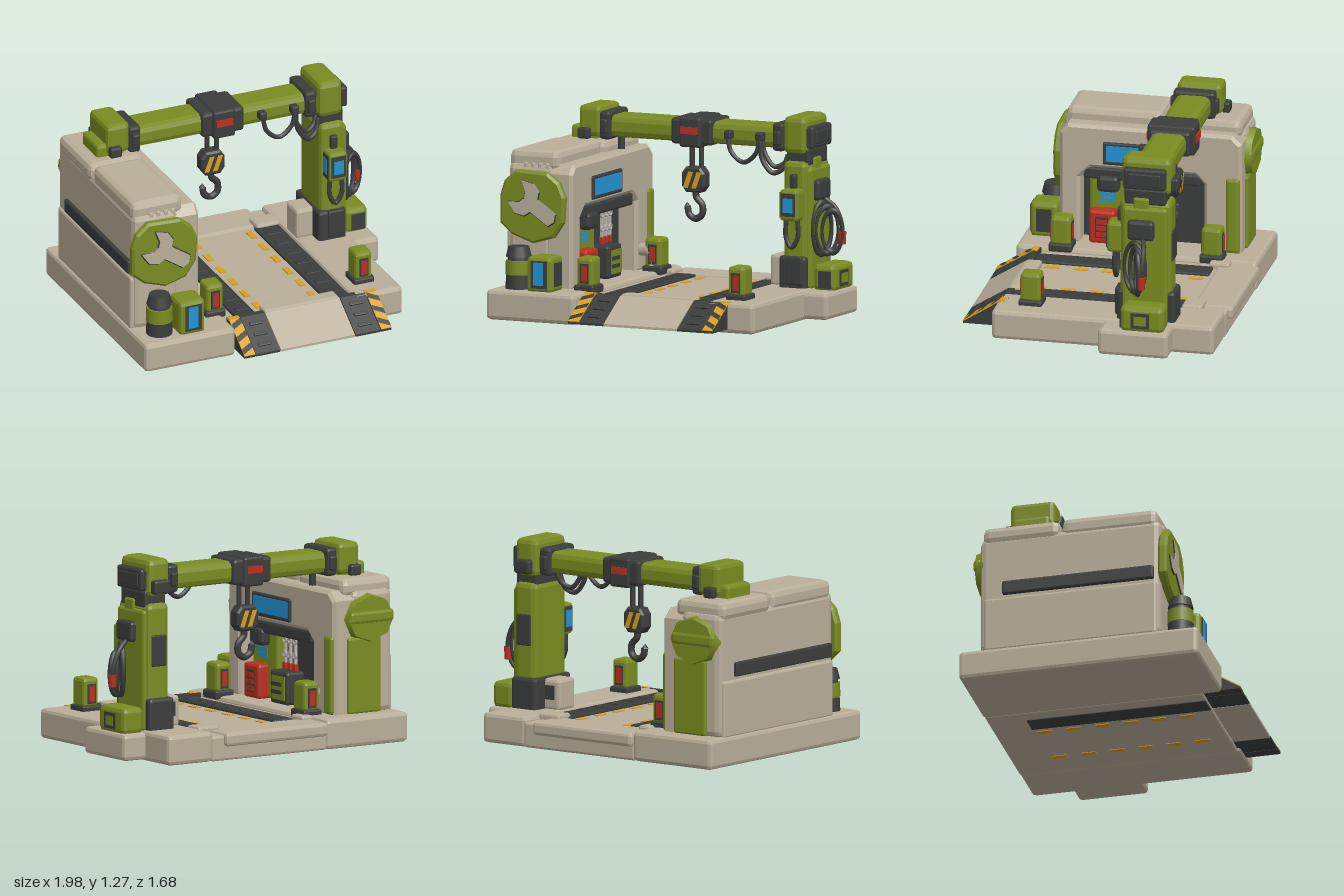
import * as THREE from 'three';
import { RoundedBoxGeometry } from 'three/addons/geometries/RoundedBoxGeometry.js';

const material = (name, color) => {
  const m = new THREE.MeshStandardMaterial({ color });
  m.name = name;
  return m;
};
const tan = material('warm grey', 0xb9ae99), green = material('olive green', 0x7a8b21);
const dark = material('charcoal', 0x3b3d3c), yellow = material('yellow', 0xd8a01c);
const red = material('red', 0xba3020), blue = material('blue', 0x2294d6);
const steel = material('steel', 0xbab6ae);

export function createModel() {
  const root = new THREE.Group();
  root.name = 'serviceBay';

  const add = (name, geo, mat, parent = root) => {
    const mesh = new THREE.Mesh(geo, mat);
    mesh.name = name;
    parent.add(mesh);
    return mesh;
  };
  // Chamfered box given by its extents on each axis
  const box = (name, mat, [x0, x1], [y0, y1], [z0, z1], r = 0.015, parent = root) => {
    const w = x1 - x0, h = y1 - y0, d = z1 - z0;
    const rad = Math.min(r, Math.min(w, h, d) * 0.4);
    const geo = r > 0 ? new RoundedBoxGeometry(w, h, d, 1, rad) : new THREE.BoxGeometry(w, h, d);
    geo.computeVertexNormals();
    const m = add(name, geo, mat, parent);
    m.position.set((x0 + x1) / 2, (y0 + y1) / 2, (z0 + z1) / 2);
    return m;
  };
  const shape = pts => new THREE.Shape(pts.map(p => new THREE.Vector2(...p)));
  const extrude = (pts, depth, bevel = 0, offset = -bevel) => new THREE.ExtrudeGeometry(shape(pts), {
    depth, bevelEnabled: bevel > 0, bevelThickness: bevel, bevelSize: bevel, bevelOffset: offset, bevelSegments: 1 });
  // Extrusion of a (z, y) profile between two x positions
  const sideProfile = (name, mat, pts, x0, x1, bevel = 0) => {
    const geo = extrude(pts, x1 - x0 - 2 * bevel, bevel).rotateY(-Math.PI / 2);
    add(name, geo, mat).position.x = x1 - bevel;
  };
  const tube = (name, mat, pts, r, parent = root) => {
    const curve = new THREE.CatmullRomCurve3(pts.map(p => new THREE.Vector3(...p)));
    return add(name, new THREE.TubeGeometry(curve, 32, r, 8), mat, parent);
  };
  const cyl = (name, mat, r0, r1, h, x, y, z, n = 16) => {
    const m = add(name, new THREE.CylinderGeometry(r0, r1, h, n), mat);
    m.position.set(x, y, z);
    return m;
  };

  // Platform slabs
  box('leftSlab', tan, [-0.98, -0.36], [0.01, 0.2], [-0.82, 0.73], 0.025);
  box('rightSlab', tan, [0.5, 0.84], [0.01, 0.2], [-0.81, 0.62], 0.025);
  box('laneSlab', tan, [-0.37, 0.51], [0.01, 0.17], [-0.81, 0.6], 0.015);
  box('columnSlab', tan, [0.8, 1], [0.02, 0.19], [-0.55, -0.1], 0.025);
  box('rearSill', tan, [-0.36, 0.42], [0.1, 0.185], [-0.84, -0.58], 0.02);
  for (const [x0, x1] of [[-0.37, -0.28], [0.35, 0.51]]) box('trackStop', tan, [x0, x1], [0.14, 0.21], [-0.66, -0.53], 0.015);

  // Lane tracks with tread slots, and dashed guide lines
  for (const [x0, x1] of [[-0.28, -0.14], [0.34, 0.5]]) {
    box('track', dark, [x0, x1], [0.1, 0.188], [-0.56, 0.58], 0.01);
    for (let i = 0; i < 7; i++) {
      const z = -0.46 + i * 0.15;
      box('treadBar', dark, [x0 + 0.03, x1 - 0.03], [0.185, 0.195], [z, z + 0.05], 0.004);
    }
  }
  box('trackUnderside', dark, [-0.28, -0.14], [0.005, 0.012], [-0.56, 0.6], 0);
  for (const x of [-0.085, 0.295])
    for (let i = 0; i < 6; i++) {
      const z = 0.435 - i * 0.185;
      box('guideDash', yellow, [x - 0.019, x + 0.019], [0.168, 0.175], [z - 0.046, z + 0.046], 0);
      box('guideDashUnderside', yellow, [x - 0.019, x + 0.019], [0.006, 0.012], [z - 0.046, z + 0.046], 0);
    }

  // Entry ramp: centre, gripped pads and hazard edges
  const rampProfile = [[0.56, 0.035], [0.84, 0.035], [0.84, 0.05], [0.6, 0.2], [0.56, 0.2]];
  sideProfile('ramp', tan, rampProfile, -0.1, 0.41);
  box('rampLanding', tan, [-0.1, 0.41], [0.15, 0.21], [0.5, 0.595], 0.012);
  for (const [x0, x1] of [[-0.27, -0.105], [0.415, 0.585]]) sideProfile('rampPad', dark, rampProfile, x0, x1);
  const slope = new THREE.Group();
  slope.name = 'rampDetails';
  slope.position.set(0, 0.125, 0.72);
  slope.rotation.x = Math.atan2(0.15, 0.24);
  root.add(slope);
  for (const x of [-0.187, 0.5])
    for (const z of [-0.08, 0, 0.08])
      box('gripBar', dark, [x - 0.045, x + 0.045], [-0.005, 0.01], [z - 0.012, z + 0.012], 0.004, slope);
  for (const [x0, x1, s] of [[-0.35, -0.275, 1], [0.59, 0.66, -1]]) {
    sideProfile('hazardEdge', dark, rampProfile, x0, x1);
    box('hazardPlate', yellow, [x0, x1], [-0.003, 0.004], [-0.142, 0.142], 0, slope);
    box('hazardLip', yellow, [x0, x1], [0.19, 0.204], [0.57, 0.605], 0);
    for (const v of [-0.11, -0.015, 0.08]) {
      const a = v + (s > 0 ? 0 : 0.04), b = v + (s > 0 ? 0.04 : 0);
      const geo = new THREE.ShapeGeometry(shape([[x0, a - 0.02], [x1, b - 0.02], [x1, b + 0.02], [x0, a + 0.02]]));
      add('hazardStripe', geo.rotateX(-Math.PI / 2).translate(0, 0.006, 0), dark, slope);
    }
  }

  // Workshop tower: core, niche frame and roof blocks
  box('towerCore', tan, [-0.95, -0.64], [0.19, 0.98], [-0.69, 0.48], 0.04);
  sideProfile('nicheFrame', tan, [[0.48, 0.19], [0.48, 0.92], [0.43, 0.98], [-0.63, 0.98], [-0.69, 0.92], [-0.69, 0.19],
    [-0.45, 0.19], [-0.45, 0.64], [-0.39, 0.7], [0.28, 0.7], [0.35, 0.63], [0.35, 0.19]], -0.68, -0.5, 0.02);
  box('roofFront', tan, [-0.95, -0.6], [0.93, 1.06], [-0.16, 0.46], 0.04);
  box('roofRear', tan, [-0.96, -0.58], [0.93, 1.05], [-0.67, -0.17], 0.04);
  for (let i = 0; i < 4; i++)
    box('roofRib', tan, [-0.84 + i * 0.05, -0.81 + i * 0.05], [0.94, 0.985], [0.43, 0.475], 0.008);
  box('sideStripe', dark, [-0.975, -0.94], [0.57, 0.66], [-0.54, 0.44], 0.01);
  box('wallSkirt', tan, [-0.965, -0.9], [0.19, 0.55], [-0.66, 0.46], 0.015);

  // Round covers on the tower ends, front one with a spanner sign
  const cover = [[-0.98, 0.6], [-0.9, 0.53], [-0.75, 0.48], [-0.61, 0.52], [-0.54, 0.62], [-0.53, 0.78],
    [-0.57, 0.87], [-0.65, 0.93], [-0.87, 0.94], [-0.95, 0.87], [-0.98, 0.78]];
  add('frontCover', extrude(cover, 0.03, 0.015), green).position.z = 0.485;
  const spanner = [[-0.17, -0.045], [-0.02, -0.045], [0, -0.09], [0.06, -0.115], [0.14, -0.085], [0.075, -0.04], [0.06, 0],
    [0.075, 0.04], [0.14, 0.085], [0.06, 0.115], [0, 0.09], [-0.02, 0.045], [-0.17, 0.045], [-0.19, 0]];
  for (const [name, mat, geo, z] of [['spannerOutline', dark, extrude(spanner, 0.004, 0.014, 0), 0.519],
    ['spannerSign', tan, extrude(spanner, 0.008), 0.533]]) {
    const m = add(name, geo, mat);
    m.position.set(-0.755, 0.73, z);
    m.rotation.z = 2.55;
  }
  const rear = cyl('rearCover', green, 0.17, 0.19, 0.06, -0.76, 0.8, -0.7, 8);
  rear.rotation.x = -Math.PI / 2;
  rear.scale.z = 0.85;
  box('rearCoverRib', green, [-0.93, -0.6], [0.77, 0.85], [-0.74, -0.68], 0.02);
  box('rearPanel', green, [-0.85, -0.6], [0.2, 0.68], [-0.71, -0.67], 0.012);
  box('rearCornerPanel', green, [-0.6, -0.485], [0.2, 0.7], [-0.68, -0.59], 0.02);

  // Lit sign above the niche
  box('signFrame', dark, [-0.51, -0.485], [0.73, 0.88], [-0.22, 0.2], 0.01);
  box('signScreen', blue, [-0.49, -0.481], [0.755, 0.86], [-0.2, 0.175], 0);

  // Niche contents: console, red cabinet, tool rack
  box('nicheBack', dark, [-0.66, -0.63], [0.2, 0.7], [-0.45, 0.35], 0);
  box('nicheLining', green, [-0.64, -0.56], [0.2, 0.64], [0.02, 0.3], 0.02);
  box('nicheArch', dark, [-0.62, -0.51], [0.62, 0.7], [-0.42, 0.33], 0.015);
  box('consoleHood', dark, [-0.6, -0.49], [0.54, 0.65], [0.1, 0.24], 0.025);
  for (const y of [0.46, 0.495]) box('consoleScreen', blue, [-0.565, -0.555], [y, y + 0.027], [0.13, 0.23], 0);
  box('redCabinet', red, [-0.62, -0.485], [0.2, 0.42], [0.12, 0.29], 0.018);
  box('cabinetPanel', dark, [-0.49, -0.48], [0.24, 0.38], [0.165, 0.245], 0);
  for (let i = 0; i < 3; i++) box('cabinetVent', red, [-0.485, -0.474], [0.25 + i * 0.042, 0.28 + i * 0.042], [0.17, 0.24], 0);
  box('toolChest', dark, [-0.62, -0.48], [0.2, 0.41], [-0.2, -0.01], 0.018);
  box('chestPanel', green, [-0.485, -0.474], [0.23, 0.38], [-0.18, -0.04], 0);
  for (let i = 0; i < 2; i++) box('chestSlot', dark, [-0.48, -0.471], [0.265 + i * 0.05, 0.29 + i * 0.05], [-0.15, -0.04], 0);
  for (const z of [-0.07, -0.125, -0.18]) {
    box('toolHandle', red, [-0.575, -0.545], [0.41, 0.46], [z - 0.014, z + 0.014], 0.006);
    box('toolShank', steel, [-0.57, -0.55], [0.45, 0.58], [z - 0.011, z + 0.011], 0.004);
    for (const y of [0.51, 0.6]) {
      const ring = add('toolRing', new THREE.TorusGeometry(0.017, 0.008, 6, 12), steel);
      ring.rotation.y = Math.PI / 2;
      ring.position.set(-0.555, y, z);
    }
  }
  tube('wallPipe', tan, [[-0.5, 0.33, -0.5], [-0.44, 0.33, -0.5], [-0.41, 0.29, -0.5], [-0.41, 0.19, -0.5]], 0.04);

  // Canister and generator at the front corner
  cyl('canisterBase', dark, 0.08, 0.085, 0.1, -0.82, 0.24, 0.58);
  cyl('canisterBand', green, 0.082, 0.085, 0.09, -0.82, 0.335, 0.58);
  cyl('canisterNeck', dark, 0.065, 0.07, 0.03, -0.82, 0.395, 0.58);
  cyl('canisterCap', dark, 0.065, 0.082, 0.065, -0.82, 0.435, 0.58);
  box('generator', green, [-0.72, -0.545], [0.19, 0.42], [0.5, 0.68], 0.025);
  box('generatorFrame', dark, [-0.685, -0.575], [0.22, 0.395], [0.675, 0.686], 0);
  box('generatorScreen', blue, [-0.665, -0.6], [0.24, 0.385], [0.682, 0.691], 0);
  box('generatorSide', dark, [-0.55, -0.538], [0.23, 0.38], [0.54, 0.64], 0);

  // Marker lamps
  for (const [x, z] of [[-0.4, 0.44], [0.64, 0.4], [-0.4, -0.53]]) {
    box('lampBase', dark, [x - 0.07, x + 0.07], [0.18, 0.235], [z - 0.075, z + 0.075], 0.012);
    box('lampPost', green, [x - 0.058, x + 0.058], [0.22, 0.41], [z - 0.065, z + 0.065], 0.022);
    for (const s of [-1, 1]) {
      box('lampFrame', dark, [x - 0.03, x + 0.03], [0.245, 0.37], [z + s * 0.065 - 0.004, z + s * 0.065 + 0.004], 0);
      box('lampGlass', red, [x - 0.02, x + 0.02], [0.26, 0.355], [z + s * 0.069 - 0.004, z + s * 0.069 + 0.004], 0);
    }
  }

  // Right column and its foot
  box('columnFoot', dark, [0.62, 0.81], [0.18, 0.4], [-0.555, -0.18], 0.02);
  box('column', green, [0.64, 0.81], [0.2, 1], [-0.53, -0.2], 0.035);
  box('columnSidePlate', green, [0.78, 0.83], [0.19, 0.96], [-0.51, -0.22], 0.02);
  box('columnNeck', dark, [0.65, 0.81], [0.97, 1.08], [-0.5, -0.23], 0.015);
  box('columnTab', green, [0.79, 0.825], [0.88, 1.02], [-0.39, -0.29], 0.012);
  box('columnHead', green, [0.635, 0.8], [1.04, 1.28], [-0.53, -0.21], 0.035);
  box('headPanel', dark, [0.78, 0.84], [1.08, 1.22], [-0.5, -0.23], 0.015);
  box('headPanelFace', dark, [0.835, 0.85], [1.11, 1.19], [-0.47, -0.26], 0.006);
  box('headRearPod', dark, [0.66, 0.78], [1.06, 1.15], [-0.57, -0.51], 0.015);
  box('columnRearPlate', dark, [0.67, 0.78], [0.6, 0.8], [-0.54, -0.52], 0.01);
  box('columnFootPanel', dark, [0.68, 0.79], [0.22, 0.4], [-0.2, -0.165], 0.01);
  box('controlPod', green, [0.66, 0.785], [0.63, 0.83], [-0.22, -0.11], 0.02);
  box('podFrame', dark, [0.675, 0.77], [0.66, 0.805], [-0.114, -0.105], 0);
  box('podScreen', blue, [0.69, 0.755], [0.685, 0.775], [-0.107, -0.1], 0);
  box('podSideFrame', dark, [0.655, 0.662], [0.65, 0.81], [-0.2, -0.125], 0);
  box('podSideScreen', blue, [0.651, 0.658], [0.68, 0.785], [-0.19, -0.135], 0);
  box('podLatch', dark, [0.7, 0.745], [0.83, 0.92], [-0.21, -0.17], 0.01);
  tube('podCable', dark, [[0.685, 0.64, -0.16], [0.685, 0.52, -0.16], [0.722, 0.46, -0.16], [0.765, 0.52, -0.16], [0.765, 0.64, -0.16]], 0.016);
  box('meterBox', tan, [0.51, 0.65], [0.19, 0.39], [-0.45, -0.28], 0.02);
  box('meterScreen', dark, [0.545, 0.615], [0.26, 0.35], [-0.456, -0.448], 0);

  // Hose reel on the outer side of the column
  box('hoseMount', dark, [0.8, 0.87], [0.75, 0.88], [-0.43, -0.26], 0.02);
  for (let i = 0; i < 3; i++) {
    const hose = add('hoseLoop', new THREE.TorusGeometry(0.13 - i * 0.012, 0.017, 8, 24), dark);
    hose.scale.set(0.62, 1.25, 1);
    hose.position.set(0.86 + i * 0.03, 0.57 - i * 0.01, -0.31 - i * 0.015);
    hose.rotation.y = 1.15 - i * 0.4;
  }
  tube('hoseEnd', dark, [[0.85, 0.76, -0.36], [0.92, 0.7, -0.38], [0.965, 0.6, -0.38], [0.97, 0.53, -0.38]], 0.015);
  cyl('hoseNozzle', red, 0.028, 0.024, 0.08, 0.97, 0.51, -0.375, 10);
  box('pumpBox', green, [0.83, 0.985], [0.18, 0.35], [-0.52, -0.24], 0.03);
  box('pumpPanel', dark, [0.98, 0.99], [0.21, 0.31], [-0.43, -0.31], 0);
  box('pumpPanelFace', green, [0.985, 0.994], [0.23, 0.29], [-0.41, -0.33], 0);
  box('pumpFront', dark, [0.87, 0.96], [0.2, 0.31], [-0.245, -0.235], 0);

  // Crane beam, collars and left support
  box('beam', green, [-0.7, 0.66], [1.065, 1.205], [-0.475, -0.25], 0.04);
  for (const x of [-0.66, 0.55]) {
    box('beamCollar', dark, [x, x + 0.08], [1.05, 1.23], [-0.5, -0.23], 0.02);
    box('collarClamp', dark, [x + 0.015, x + 0.065], [1.09, 1.18], [-0.52, -0.21], 0.01);
  }
  box('leftHead', green, [-0.81, -0.65], [1.06, 1.26], [-0.53, -0.24], 0.03);
  box('leftHeadFoot', green, [-0.87, -0.68], [1.03, 1.13], [-0.5, -0.26], 0.02);
  for (const z of [-0.54, -0.23]) box('leftHeadBolt', dark, [-0.8, -0.72], [1.05, 1.12], [z - 0.025, z + 0.025], 0.012);
  cyl('beamStrut', dark, 0.022, 0.022, 0.16, -0.565, 1.0, -0.36, 10);

  // Trolley, hoist cables and hook
  box('trolley', dark, [-0.16, 0.13], [1.055, 1.22], [-0.5, -0.23], 0.02);
  box('trolleyCore', dark, [-0.09, 0.06], [1.04, 1.23], [-0.515, -0.21], 0.015);
  for (const z of [-0.519, -0.206]) box('trolleyLight', red, [-0.075, 0.04], [1.125, 1.17], [z - 0.006, z + 0.006], 0);
  for (const x of [-0.07, -0.005]) cyl('hoistCable', dark, 0.017, 0.017, 0.19, x, 0.97, -0.36, 8);
  const hook = new THREE.Group();
  hook.name = 'hookBlock';
  hook.position.set(-0.045, 0.82, -0.36);
  root.add(hook);
  const block = [[-0.05, -0.08], [0.05, -0.08], [0.08, -0.04], [0.08, 0.04], [0.05, 0.08], [-0.05, 0.08], [-0.08, 0.04], [-0.08, -0.04]];
  add('block', extrude(block, 0.07, 0.012).translate(0, 0, -0.035), dark, hook);
  for (const s of [0, Math.PI])
    for (const u of [-0.03, 0.028]) {
      const stripe = new THREE.ShapeGeometry(shape([[u - 0.036, -0.052], [u - 0.002, -0.052], [u + 0.036, 0.052], [u + 0.002, 0.052]]));
      add('blockStripe', stripe.translate(0, 0, 0.05).rotateY(s), yellow, hook);
    }
  tube('hook', dark, [[0, -0.08, 0], [0.005, -0.115, 0], [0.045, -0.16, 0], [0.045, -0.22, 0], [0, -0.25, 0],
    [-0.045, -0.225, 0], [-0.057, -0.175, 0]], 0.022, hook);
  const tip = add('hookTip', new THREE.ConeGeometry(0.022, 0.03, 8), dark, hook);
  tip.position.set(-0.059, -0.162, 0);

  // Power cable swags along the beam
  for (const x of [0.25, 0.47]) box('cableClip', dark, [x - 0.025, x + 0.025], [1.11, 1.165], [-0.26, -0.2], 0.01);
  tube('cableSwag', dark, [[0.25, 1.12, -0.215], [0.275, 1.03, -0.215], [0.36, 0.97, -0.215], [0.445, 1.03, -0.215], [0.47, 1.12, -0.215]], 0.015);
  for (const d of [0, 0.035])
    tube('cableDrop', dark, [[0.475, 1.12, -0.215 - d], [0.49, 1.0 + d, -0.215 - d], [0.56, 0.915 + d, -0.22 - d],
      [0.62, 0.94 + d, -0.24 - d], [0.65, 1.03, -0.26 - d]], 0.016);

  return root;
}
